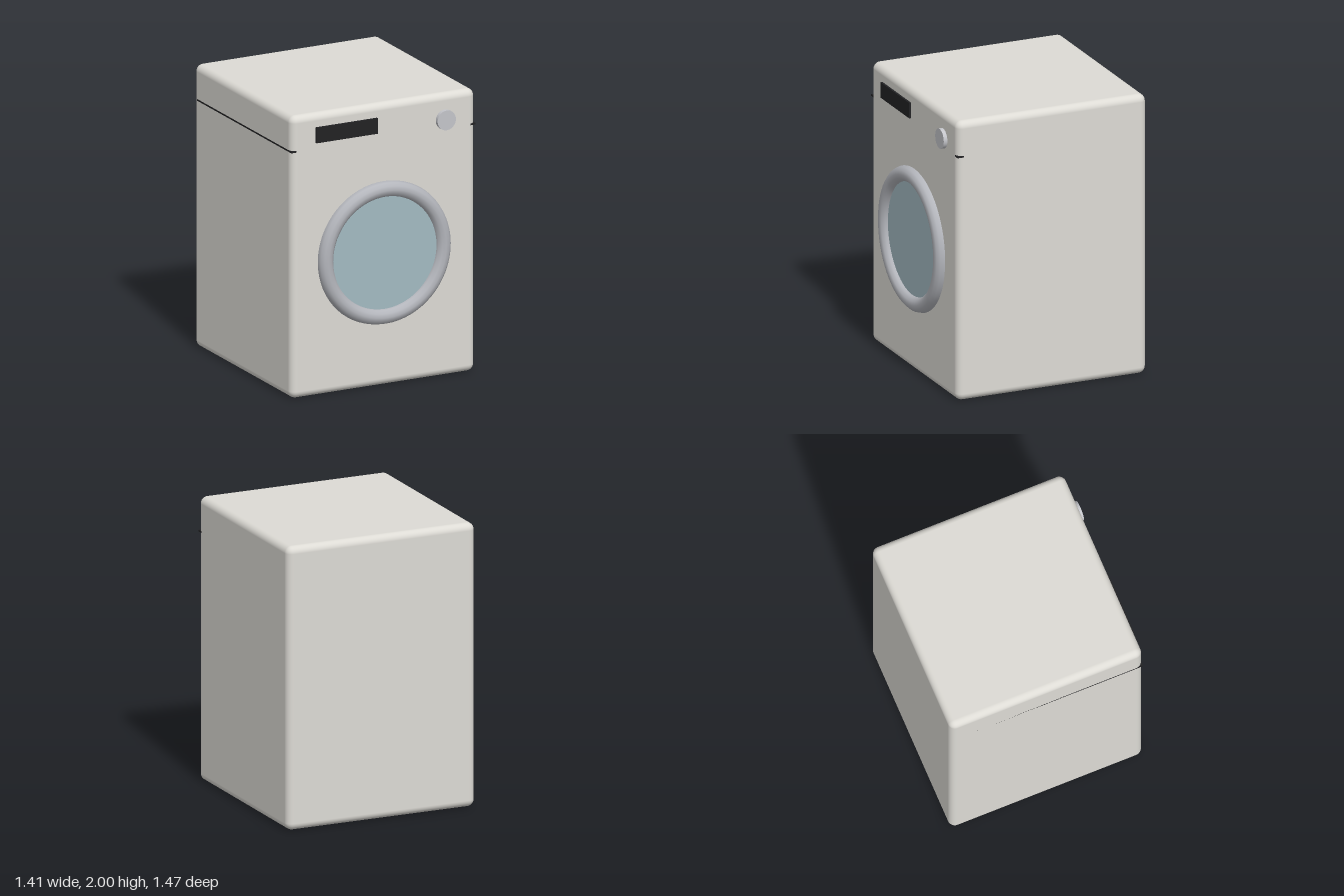
import * as THREE from 'three';
import { RoundedBoxGeometry } from 'three/addons/geometries/RoundedBoxGeometry.js';

const FRONT = 0.675; // z of the cabinet's front face

export function createModel() {
  const group = new THREE.Group();
  const add = (name, geometry, color, x, y, z) => {
    const mesh = new THREE.Mesh(geometry, new THREE.MeshStandardMaterial({ color }));
    mesh.name = name;
    mesh.position.set(x, y, z);
    group.add(mesh);
    return mesh;
  };
  // Discs that face the front
  const disc = (radius, depth) =>
    new THREE.CylinderGeometry(radius, radius, depth, 64).rotateX(Math.PI / 2);

  // Cabinet with softened edges
  add('cabinet', new RoundedBoxGeometry(1.41, 2, 1.41, 5, 0.05), 0xdddbd5, 0, 1, FRONT - 0.705);

  // Thin seam plate under the lid, showing at the front corners
  add('lidSeam', new THREE.BoxGeometry(1.41, 0.012, 1.36), 0x222224, 0, 1.752, FRONT - 0.681);

  // Porthole door
  add('doorRing', new THREE.TorusGeometry(0.45, 0.055, 12, 64), 0xb4b6bc, 0, 0.945, 0.68);
  add('doorGlass', disc(0.4, 0.04), 0xa3bac2, 0, 0.945, 0.67);

  // Controls
  add('displayPanel', new THREE.BoxGeometry(0.47, 0.11, 0.03), 0x222224, -0.285, 1.85, 0.675);
  add('programKnob', disc(0.07, 0.05), 0xc4c5ca, 0.47, 1.817, 0.677);

  return group;
}
